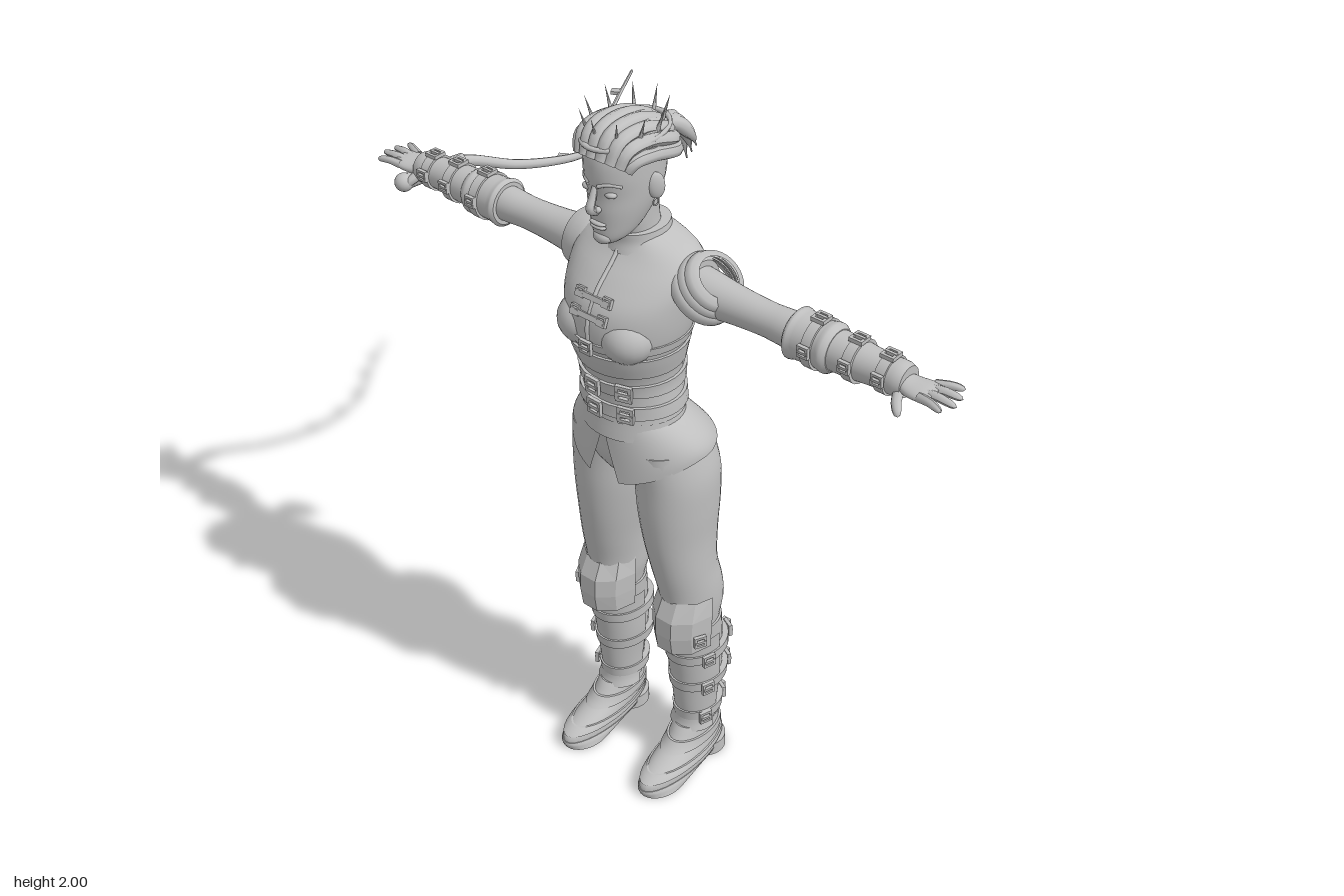
import * as THREE from 'three';

const clay = new THREE.MeshStandardMaterial({ color: 0xc0c0c0, side: THREE.DoubleSide });
clay.name = 'light grey';
const V = (x, y, z) => new THREE.Vector3(x, y, z);

function add(parent, name, geo, pos, rot, scale) {
  const m = new THREE.Mesh(geo, clay);
  m.name = name;
  if (pos) m.position.set(...pos);
  if (rot) m.rotation.set(...rot);
  if (scale) m.scale.set(...scale);
  parent.add(m);
  return m;
}

// Smooth lookup in a profile of sections [height, centre x, half width, front z, back z]
function at(p, y) {
  let i = 0;
  while (i < p.length - 2 && y > p[i + 1][0]) i++;
  const h = p[i + 1][0] - p[i][0], t = THREE.MathUtils.clamp((y - p[i][0]) / h, 0, 1);
  const slope = (j, k) => {
    const a = p[Math.max(j - 1, 0)], b = p[Math.min(j + 1, p.length - 1)];
    return (b[k] - a[k]) / (b[0] - a[0]);
  };
  return [0, 1, 2, 3, 4].map(k => k === 0 ? y :
    p[i][k] * (1 + 2 * t) * (1 - t) ** 2 + p[i + 1][k] * t * t * (3 - 2 * t) +
    h * (slope(i, k) * t * (1 - t) ** 2 + slope(i + 1, k) * t * t * (t - 1)));
}

// Surface over a grid of points; closed surfaces wrap round and get end caps
function grid(rows, n, fn, closed) {
  const pos = [], idx = [], w = closed ? n : n + 1;
  for (let i = 0; i <= rows; i++) for (let j = 0; j < w; j++) pos.push(...fn(i / rows, j / n));
  for (let i = 0; i < rows; i++) for (let j = 0; j < n; j++) {
    const a = i * w + j, b = i * w + (j + 1) % w;
    idx.push(a, a + w, b, b, a + w, b + w);
  }
  if (closed) for (const end of [0, 1]) {
    const base = pos.length / 3, c = [0, 0, 0];
    for (let j = 0; j < n; j++) {
      const p = fn(end, j / n);
      pos.push(...p);
      p.forEach((v, k) => { c[k] += v / n; });
    }
    pos.push(...c);
    for (let j = 0; j < n; j++) {
      const a = base + j, b = base + (j + 1) % n;
      idx.push(base + n, end ? b : a, end ? a : b);
    }
  }
  const g = new THREE.BufferGeometry();
  g.setAttribute('position', new THREE.Float32BufferAttribute(pos, 3));
  g.setIndex(idx);
  g.computeVertexNormals();
  return g;
}

// Loft of a profile, or a slice of it grown by off, or an open arc from angle a0 to a1
function loft(p, { y0 = p[0][0], y1 = p[p.length - 1][0], off = 0, rows = p.length * 3, n = 32, a0, a1 } = {}) {
  const arc = a0 !== undefined, s = arc ? a0 : 0, e = arc ? a1 : Math.PI * 2;
  return grid(rows, n, (v, u) => {
    const [y, cx, rx, zf, zb] = at(p, y0 + (y1 - y0) * v), a = s + (e - s) * u;
    return [cx + (rx + off) * Math.cos(a), y, (zf + zb) / 2 + ((zf - zb) / 2 + off) * Math.sin(a)];
  }, !arc);
}

// Tube whose thickness follows r(t)
function taper(points, r, n = 10, steps = 24) {
  const curve = new THREE.CatmullRomCurve3(points.map(q => V(...q)));
  const g = new THREE.TubeGeometry(curve, steps, 1, n), p = g.attributes.position;
  for (let i = 0; i < p.count; i++) {
    const t = Math.floor(i / (n + 1)) / steps, c = curve.getPointAt(t);
    const q = V().fromBufferAttribute(p, i).sub(c).multiplyScalar(r(t)).add(c);
    p.setXYZ(i, q.x, q.y, q.z);
  }
  g.computeVertexNormals();
  return g;
}
const finger = r => t => r * Math.sqrt(Math.max(0, 1 - t ** 8)) * (1 - 0.25 * t);
const box = (x, y, z) => new THREE.BoxGeometry(x, y, z);
const ball = (r = 1) => new THREE.SphereGeometry(r, 20, 14);

// Square buckle frame facing +z, with a tongue
function buckle(parent, pos, rot, s = 0.04) {
  const sh = new THREE.Shape([[-1, -1], [1, -1], [1, 1], [-1, 1]].map(c => new THREE.Vector2(c[0] * s / 2, c[1] * s / 2)));
  sh.holes.push(new THREE.Path([[-1, -1], [-1, 1], [1, 1], [1, -1]].map(c => new THREE.Vector2(c[0] * s * 0.3, c[1] * s * 0.3))));
  const b = add(parent, 'buckle', new THREE.ExtrudeGeometry(sh, { depth: 0.01, bevelEnabled: false }), pos, rot);
  add(b, 'buckleTongue', box(s * 0.9, s * 0.2, 0.008), [0, 0, 0.008]);
}

const TORSO = [[1.14, 0, .14, .525, .28], [1.22, 0, .132, .513, .29], [1.3, 0, .127, .518, .285], [1.38, 0, .145, .542, .275],
  [1.45, 0, .162, .554, .25], [1.52, 0, .172, .54, .235], [1.58, 0, .178, .49, .235], [1.62, 0, .16, .445, .25], [1.645, 0, .11, .425, .265], [1.66, 0, .07, .42, .28]];
const LEG = [[.45, .133, .06, .42, .275], [.5, .133, .064, .425, .268], [.56, .13, .073, .44, .25], [.62, .128, .076, .447, .255],
  [.7, .122, .079, .462, .27], [.8, .113, .087, .477, .258], [.9, .108, .097, .485, .245], [1, .105, .1, .487, .243], [1.1, .095, .09, .495, .26]];
const BOOT = [[.07, .138, .048, .405, .27], [.15, .135, .046, .395, .28], [.22, .135, .05, .4, .27], [.32, .134, .06, .408, .257], [.42, .134, .064, .418, .257], [.5, .133, .07, .42, .265]];
const SHOE = [[.02, .143, .058, .585, .262], [.045, .143, .058, .575, .262], [.065, .141, .055, .53, .264], [.09, .139, .052, .47, .268], [.14, .138, .05, .42, .275]];
const HEAD = [[1.67, 0, .015, .485, .45], [1.68, 0, .032, .495, .42], [1.695, 0, .046, .499, .385], [1.72, 0, .058, .501, .355], [1.76, 0, .071, .504, .32],
  [1.8, 0, .079, .504, .297], [1.85, 0, .083, .511, .287], [1.9, 0, .083, .508, .285], [1.94, 0, .072, .49, .3], [1.96, 0, .04, .45, .35]];
// Limb profile along +x with round sections [x, radius]
const round = (list, y = 1.545) => list.map(([x, r]) => [x, -y, r, .345 + r, .345 - r]);
const ALONG_X = [0, 0, -Math.PI / 2];

function torso(g) {
  add(g, 'vest', loft(TORSO, { rows: 40, n: 48 }));
  add(g, 'underbustBand', loft(TORSO, { y0: 1.335, y1: 1.395, off: .007, rows: 6 }));
  add(g, 'corset', loft(TORSO, { y0: 1.19, y1: 1.335, off: .003, rows: 10 }));
  add(g, 'chestStrap', loft(TORSO, { y0: 1.41, y1: 1.432, off: .005, rows: 3 }));
  buckle(g, [0, 1.421, .557], null, .036);
  for (const y of [1.225, 1.29]) {
    add(g, 'belt', loft(TORSO, { y0: y - .017, y1: y + .017, off: .011, rows: 4 }));
    for (const x of [-.012, .07]) buckle(g, [x, y, at(TORSO, y)[3] + .013 - x * x * 4], [0, x * 4, 0], .044);
  }
  for (const x of [-1, 1]) add(g, 'bust', ball(), [x * .068, 1.44, .488], null, [.07, .066, .068]);
  // Crossed fastenings on the chest
  for (const y of [1.5, 1.54]) {
    const z = at(TORSO, y)[3];
    add(g, 'chestFastening', box(.1, .014, .012), [0, y, z], [-.4, 0, 0]);
    for (const x of [-.042, .042]) buckle(g, [x, y, z - .006], [-.4, 0, 0], .026);
  }
  add(g, 'frontSeam', taper([1.64, 1.6, 1.55, 1.48, 1.43].map(y => [0, y, at(TORSO, y)[3]]), () => .006, 6));
  add(g, 'collar', loft([[1.625, 0, .082, .445, .262], [1.65, 0, .07, .437, .272], [1.675, 0, .066, .437, .275]]));
  // Flared jacket tail, open at the front
  add(g, 'jacketTail', grid(12, 64, (v, u) => {
    const s = .24 * v, a = Math.PI / 2 + s + (Math.PI * 2 - 2 * s) * u, f = Math.max(0, Math.sin(a));
    const bulge = Math.sin(v * Math.PI / 2), y = 1.175 - v * (.1 + .068 * f ** 2);
    const back = .29 - .08 * v, front = .517 + .01 * v;
    return [(.136 + .064 * bulge) * Math.cos(a), y, (front + back) / 2 + (front - back) / 2 * Math.sin(a)];
  }));
  add(g, 'hips', loft([[.97, 0, .06, .44, .28], [1.0, 0, .12, .475, .25], [1.05, 0, .175, .495, .24], [1.1, 0, .165, .5, .255], [1.17, 0, .13, .505, .295]]));
  // Short sleeve cap and layered shoulder plates
  add(g, 'sleeveCap', loft(round([[-.205, .073], [-.18, .08], [-.14, .084], [-.1, .075]], 1.55)), null, ALONG_X);
  add(g, 'armholeTrim', loft(round([[.11, .07], [.15, .077], [.175, .068]], 1.55)), null, ALONG_X);
  for (let i = 0; i < 3; i++) {
    const r = .092 - i * .007, d = i * .02 - .016;
    const band = [[r - .024, .02], [r - .006, .013], [r, -.002], [r - .001, -.016], [r - .007, -.016], [r - .012, 0]].map(c => new THREE.Vector2(...c));
    add(g, 'shoulderPlate', new THREE.LatheGeometry(band, 36), [.2 + d * .68, 1.568 + d * .73, .345], [0, 0, -.75]);
  }
}

function leg(g) {
  add(g, 'trouserLeg', loft(LEG, { rows: 32 }));
  add(g, 'boot', loft(BOOT));
  add(g, 'shinGuard', loft(BOOT, { y0: .15, y1: .47, off: .011, a0: -.1, a1: Math.PI + .1 }));
  add(g, 'shinGuardHem', loft([[.13, .135, .064, .42, .29], [.15, .135, .06, .412, .285], [.175, .135, .058, .407, .28]], { a0: -.1, a1: Math.PI + .1 }));
  const knee = [[.455, .134, .083, .47, .27], [.54, .134, .087, .478, .26], [.58, .134, .086, .465, .26], [.615, .134, .08, .445, .27]];
  const plate = loft(knee, { a0: .05, a1: Math.PI - .05, n: 5, rows: 3 }).toNonIndexed();
  plate.computeVertexNormals();
  add(g, 'kneeGuard', plate);
  buckle(g, [.212, .5, .415], [0, 1.1, 0], .034);
  for (const y of [.18, .295, .4]) {
    const [, cx, rx, zf, zb] = at(BOOT, y);
    add(g, 'bootStrap', loft(BOOT, { y0: y - .015, y1: y + .015, off: .016, rows: 3 }));
    buckle(g, [cx + rx + .01, y, .375], [0, 1.25, 0], .036);
    buckle(g, [cx + rx * .5, y, zb - .008], [0, 2.7, 0], .036);
    add(g, 'strapEnd', box(.024, .026, .02), [cx + rx * .3, y, zb - .02]);
  }
  add(g, 'shoe', loft(SHOE, { rows: 14 }));
  add(g, 'sole', loft([[0, .143, .059, .58, .42], [.02, .143, .061, .588, .3], [.025, .143, .06, .586, .262]], { rows: 4 }));
  add(g, 'heel', loft([[0, .143, .056, .37, .26], [.04, .143, .056, .37, .26]], { rows: 2 }));
  add(g, 'ankleStrap', loft(SHOE, { y0: .085, y1: .11, off: .006, rows: 4 }));
  add(g, 'instepStrap', loft(SHOE, { y0: .045, y1: .06, off: .005, rows: 3 }));
}

function arm(g) {
  add(g, 'arm', loft(round([[.12, .062], [.2, .056], [.28, .047], [.38, .042], [.46, .046], [.56, .043], [.66, .035], [.76, .026]])), null, ALONG_X);
  add(g, 'elbowCuff', loft(round([[.455, .056], [.462, .064], [.475, .06], [.54, .058], [.56, .062], [.575, .052]])), null, ALONG_X);
  add(g, 'bracer', loft(round([[.565, .05], [.62, .048], [.7, .042], [.75, .043], [.765, .038]])), null, ALONG_X);
  for (const [x, r] of [[.525, .064], [.63, .054], [.715, .048]]) {
    add(g, 'bracerStrap', loft(round([[x - .013, r], [x + .013, r]]), { rows: 2 }), null, ALONG_X);
    buckle(g, [x, 1.545 + r - .002, .345], [-Math.PI / 2, 0, 0], .036);
    buckle(g, [x, 1.555, .343 + r], null, .03);
  }
  add(g, 'palm', loft([[.74, -1.543, .021, .37, .32], [.78, -1.541, .018, .384, .312], [.82, -1.543, .015, .388, .306], [.84, -1.545, .01, .38, .31]]), null, ALONG_X);
  [[.315, .292, .878], [.335, .327, .895], [.357, .36, .9], [.378, .395, .884]].forEach(([z0, z1, x]) =>
    add(g, 'finger', taper([[.815, 1.545, z0], [.85, 1.55, (z0 + z1) / 2], [x, 1.546, z1]], finger(.0115), 8, 14)));
  add(g, 'thumb', taper([[.755, 1.535, .365], [.768, 1.518, .395], [.788, 1.5, .416]], finger(.014), 8, 14));
}

function head(g) {
  add(g, 'neck', loft([[1.6, 0, .056, .42, .28], [1.66, 0, .047, .425, .3], [1.71, 0, .047, .445, .305], [1.78, 0, .05, .45, .3]]));
  add(g, 'face', loft(HEAD, { rows: 36 }));
  add(g, 'nose', taper([[0, 1.828, .503], [0, 1.8, .514], [0, 1.776, .522], [0, 1.766, .505]], t => .007 + .006 * t, 10));
  for (const y of [1.731, 1.722]) add(g, 'lip', ball(), [0, y, .5], null, [.024, .006, .01]);
  add(g, 'chin', ball(), [0, 1.69, .487], null, [.025, .018, .018]);
  for (const s of [-1, 1]) {
    add(g, 'nostril', ball(.008), [s * .01, 1.772, .508]);
    add(g, 'eye', ball(), [s * .034, 1.812, .489], null, [.016, .009, .013]);
    add(g, 'brow', taper([[s * .013, 1.833, .509], [s * .035, 1.84, .498], [s * .058, 1.833, .476]], () => .005, 6));
    add(g, 'ear', ball(), [s * .083, 1.81, .39], [.15, s * -.4, 0], [.011, .036, .022]);
    add(g, 'earring', new THREE.TorusGeometry(.009, .002, 6, 14), [s * .085, 1.77, .395], [0, Math.PI / 2, 0]);
  }
  // Braids swept back over the crown of the head, gathered into a tail
  add(g, 'hairCap', ball(), [0, 1.905, .395], [-.1, 0, 0], [.084, .066, .118]);
  for (let i = -4; i <= 4; i++) {
    const k = i / 4, d = .075 * k * k, x = .08 * Math.sin(k * 1.4);
    add(g, 'braid', taper([[x * .85, 1.9 - d * .3, .505 - d * .5], [x, 1.955 - d * .8, .48 - d * .3], [x * 1.05, 1.966 - d, .4], [x, 1.93 - d * .8, .315], [x * .4, 1.885 - d * .3, .275]], () => .017, 8));
  }
  add(g, 'hairTie', new THREE.TorusGeometry(.022, .01, 8, 18), [0, 1.885, .268], [.4, 0, 0]);
  for (let i = -2; i <= 2; i++)
    add(g, 'ponytailStrand', taper([[0, 1.885, .285], [i * .009, 1.9 - Math.abs(i) * .006, .245], [i * .016, 1.85, .21], [i * .015, 1.765 + Math.abs(i) * .022, .186]],
      t => .008 + .013 * Math.sin(Math.PI * Math.min(t * 1.1, 1)) - .006 * t, 8));
  // Thorny circlet
  const up = V(0, 1, 0);
  for (let i = 0; i < 10; i++) {
    const a = (i + .5) / 10 * Math.PI * 2, c = Math.cos(a), s = Math.sin(a);
    const cone = add(g, 'crownThorn', new THREE.ConeGeometry(.0065, .075, 6), [c * .083, 1.962, .395 + s * .102]);
    cone.quaternion.setFromUnitVectors(up, V(c * .38, 1, s * .25).normalize());
  }
  const ring = add(g, 'circlet', new THREE.TorusGeometry(1, .06, 8, 40), [0, 1.928, .395], [Math.PI / 2, 0, 0]);
  ring.scale.set(.084, .118, .1);
}

function whip(g) {
  const path = [[-.785, 1.512, .4], [-.765, 1.515, .31], [-.745, 1.515, .226], [-.69, 1.465, .09], [-.664, 1.43, -.04], [-.672, 1.402, -.15], [-.72, 1.383, -.29], [-.815, 1.385, -.43], [-.885, 1.42, -.593]];
  add(g, 'whip', taper(path, t => .018 - .014 * t, 10, 60));
  add(g, 'whipGrip', taper(path.slice(0, 3), () => .021, 12));
  add(g, 'whipPommel', ball(.025), path[0]);
  const curve = new THREE.CatmullRomCurve3(path.map(p => V(...p)));
  for (const t of [.47, .58, .69, .8, .9]) {
    const p = curve.getPointAt(t);
    add(g, 'whipBarb', box(.028, .01, .024), [p.x - .016, p.y, p.z], [0, .5, 0]);
  }
}

export function createModel() {
  const model = new THREE.Group();
  model.name = 'warrior';
  const part = (name, build, mirror) => {
    const g = new THREE.Group();
    g.name = name;
    build(g);
    if (mirror) g.scale.x = -1;
    model.add(g);
  };
  part('torso', torso);
  part('head', head);
  for (const right of [false, true]) {
    part(right ? 'rightLeg' : 'leftLeg', leg, right);
    part(right ? 'rightArm' : 'leftArm', arm, right);
  }
  part('whipAssembly', whip);
  return model;
}
